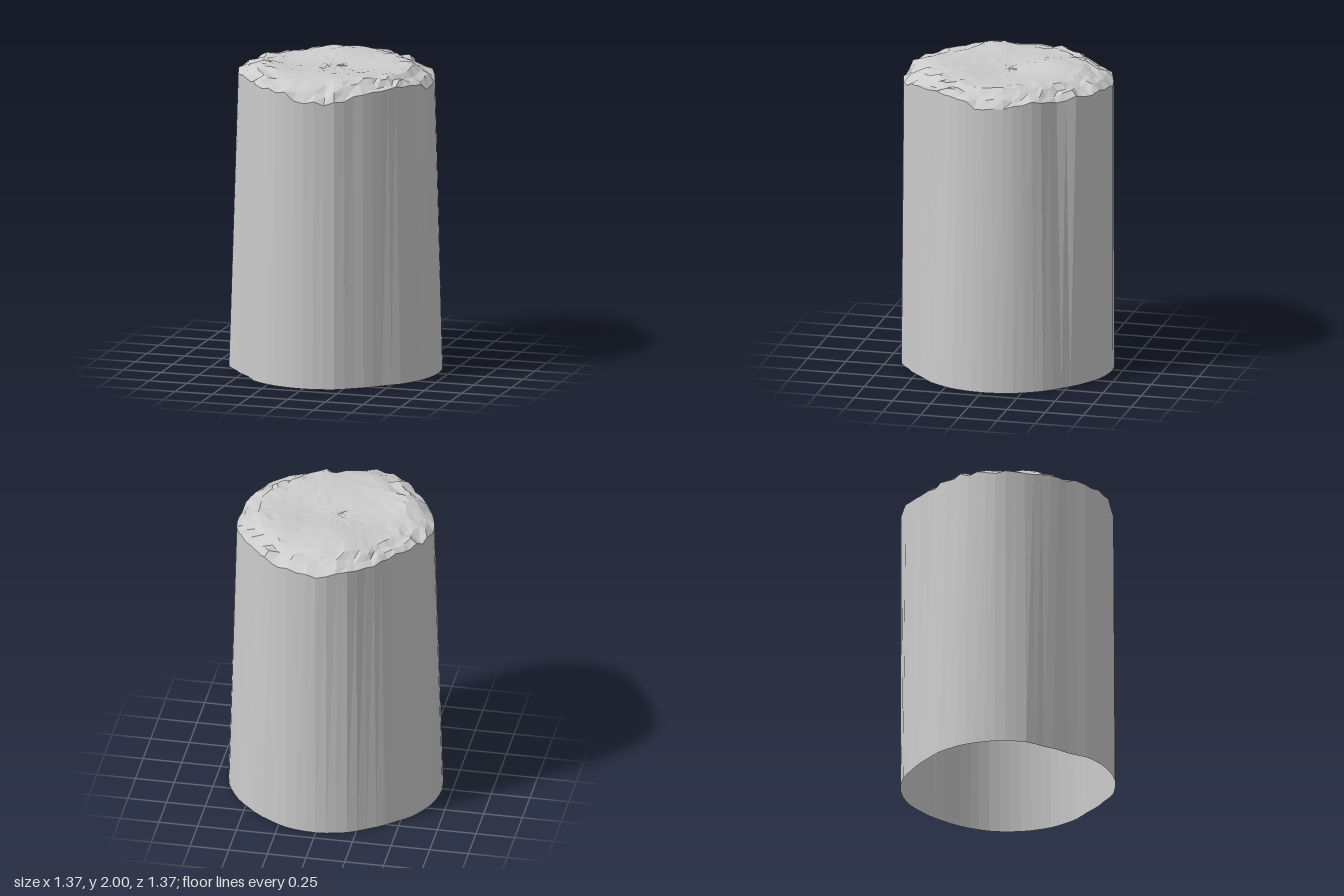
import * as THREE from 'three';

const SEG = 64;
const RINGS = 14;

// Radii every 15 degrees from +x towards +z: base edge and broken top rim
const BASE = [.685, .68, .665, .64, .65, .68, .685, .68, .67, .625, .635, .675, .685, .685, .675, .655, .655, .675, .685, .685, .67, .665, .675, .685];
const RIM = [.63, .62, .61, .62, .63, .665, .675, .67, .65, .605, .6, .615, .63, .62, .6, .585, .62, .66, .685, .675, .655, .605, .63, .635];
// Rim height at the same angles
const EDGE = [1.85, 1.9, 1.91, 1.9, 1.89, 1.85, 1.86, 1.91, 1.92, 1.92, 1.92, 1.92, 1.91, 1.92, 1.93, 1.92, 1.91, 1.91, 1.89, 1.91, 1.9, 1.89, 1.9, 1.88];

// Smooth periodic lookup into one of the tables
function sample(table, turn) {
  const n = table.length;
  const t = (turn - Math.floor(turn)) * n;
  const i = Math.floor(t) % n;
  const f = t - Math.floor(t);
  return THREE.MathUtils.lerp(table[i], table[(i + 1) % n], f * f * (3 - 2 * f));
}

// Seeded noise in -1..1
function noise(i, j) {
  const s = Math.sin(i * 127.1 + j * 311.7) * 43758.5453;
  return 2 * (s - Math.floor(s)) - 1;
}

const bump = (x, z, cx, cz, r) => Math.exp(-((x - cx) ** 2 + (z - cz) ** 2) / (r * r));

// Gentle mounds and hollows of the top
function plateau(x, z) {
  return 1.962 + 0.034 * bump(x, z, -0.45, 0.2, 0.15) + 0.034 * bump(x, z, -0.05, -0.32, 0.2)
    + 0.012 * bump(x, z, 0.4, -0.2, 0.2) + 0.012 * bump(x, z, 0.2, 0.3, 0.2)
    - 0.015 * bump(x, z, 0.1, 0, 0.2);
}

function rimPoint(i) {
  const k = i % SEG;
  const turn = k / SEG;
  const a = turn * Math.PI * 2;
  const r = sample(RIM, turn);
  return new THREE.Vector3(r * Math.cos(a), sample(EDGE, turn) + 0.014 * noise(k, 1), r * Math.sin(a));
}

function basePoint(i) {
  const turn = (i % SEG) / SEG;
  const a = turn * Math.PI * 2;
  const r = sample(BASE, turn);
  return new THREE.Vector3(r * Math.cos(a), 0, r * Math.sin(a));
}

// Point on the top: ring 0 is the centre, ring RINGS is the rim
function topPoint(ring, i) {
  const k = i % SEG;
  const rim = rimPoint(k);
  if (ring === RINGS) return rim;
  const f = ring / RINGS;
  const rough = THREE.MathUtils.smoothstep(f, 0.55, 0.95);
  const drop = THREE.MathUtils.smoothstep(f, 0.72, 1.08);
  const shift = ring === 0 ? 0 : 0.018 * rough * noise(k, ring + 40);
  const x = rim.x * (f + shift);
  const z = rim.z * (f + shift);
  const flat = plateau(x, z);
  const y = THREE.MathUtils.lerp(flat, rim.y, drop)
    + (0.002 + 0.014 * rough) * (ring ? noise(k >> 1, ring + 7) : 0);
  return new THREE.Vector3(x, Math.min(y, 2), z);
}

// Flat-sided surface from a list of rows of points
function surface(rows, pointAt) {
  const pos = [];
  const index = [];
  for (let r = 0; r <= rows; r++) {
    for (let i = 0; i <= SEG; i++) pos.push(...pointAt(r, i).toArray());
  }
  const w = SEG + 1;
  for (let r = 0; r < rows; r++) {
    for (let i = 0; i < SEG; i++) {
      const a = r * w + i, b = a + 1, c = a + w, d = c + 1;
      index.push(a, b, d, a, d, c);
    }
  }
  const g = new THREE.BufferGeometry();
  g.setAttribute('position', new THREE.Float32BufferAttribute(pos, 3));
  g.setIndex(index);
  const flat = g.toNonIndexed();
  flat.computeVertexNormals();
  return flat;
}

export function createModel() {
  const group = new THREE.Group();
  group.name = 'stump';
  const material = new THREE.MeshStandardMaterial({ color: 0xcccccc, flatShading: true, side: THREE.DoubleSide });

  // Tapered wall, open underneath
  const wall = new THREE.Mesh(surface(1, (r, i) => (r === 0 ? rimPoint(i) : basePoint(i))), material);
  wall.name = 'wall';

  // Broken, uneven top
  const top = new THREE.Mesh(surface(RINGS, topPoint), material);
  top.name = 'brokenTop';

  group.add(wall, top);
  return group;
}
